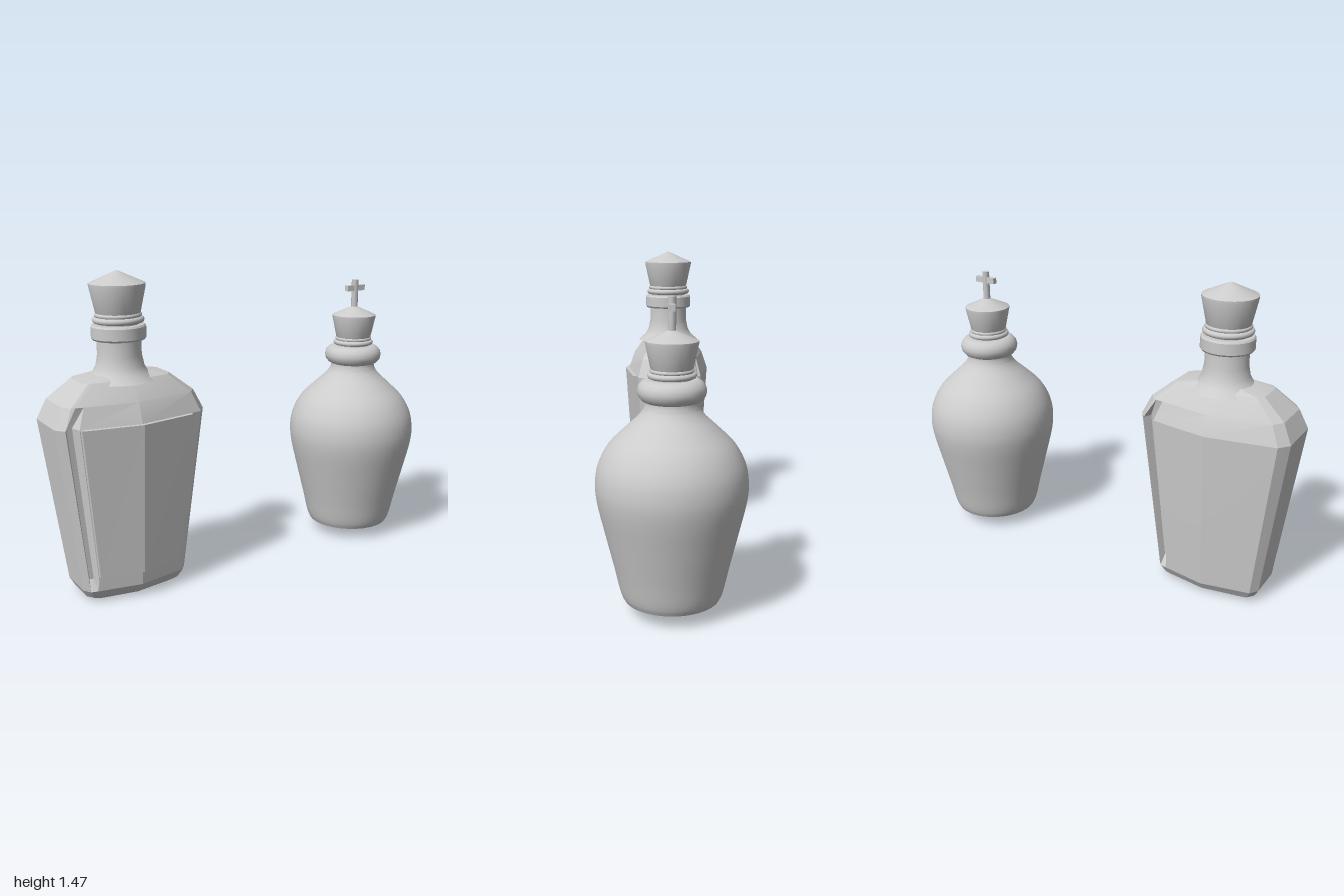
import * as THREE from 'three';
import { toCreasedNormals } from 'three/addons/utils/BufferGeometryUtils.js';

const material = new THREE.MeshStandardMaterial({ color: 0xcccccc });

function add(parent, name, geometry, x = 0, y = 0, z = 0) {
  const mesh = new THREE.Mesh(geometry, material);
  mesh.name = name;
  mesh.position.set(x, y, z);
  parent.add(mesh);
  return mesh;
}

// Skin a stack of closed rings (counter-clockwise seen from above) and cap both ends
function loft(rings, crease) {
  const n = rings[0].length, last = (rings.length - 1) * n, index = [];
  for (let i = 0; i < rings.length - 1; i++) {
    for (let j = 0; j < n; j++) {
      const a = i * n + j, b = i * n + (j + 1) % n;
      index.push(a, b, b + n, a, b + n, a + n);
    }
  }
  for (let j = 1; j < n - 1; j++) {
    index.push(0, j + 1, j, last, last + j, last + j + 1);
  }
  const g = new THREE.BufferGeometry();
  g.setAttribute('position', new THREE.Float32BufferAttribute(rings.flat(2), 3));
  g.setIndex(index);
  g.computeVertexNormals();
  return toCreasedNormals(g, crease);
}

function turned(profile, crease = 0.5) {
  const points = profile.map(([r, y]) => new THREE.Vector2(r, y));
  return toCreasedNormals(new THREE.LatheGeometry(points, 48), crease);
}

function ring(radius, tube) {
  return new THREE.TorusGeometry(radius, tube, 14, 48).rotateX(Math.PI / 2);
}

// Flared stopper with a low conical top and a double bead under it
function makeStopper() {
  const stopper = new THREE.Group();
  stopper.name = 'stopper';
  add(stopper, 'stopperHead', turned([
    [0, -0.04], [0.09, -0.04], [0.09, 0.03], [0.096, 0.04], [0.124, 0.17], [0.124, 0.18], [0, 0.235],
  ], 0.4));
  add(stopper, 'stopperBead', ring(0.1, 0.014), 0, 0.022);
  add(stopper, 'stopperUpperBead', ring(0.094, 0.01), 0, 0.043);
  return stopper;
}

// Flask outline: half of it, the other half is the same turned by 180 degrees
function flaskRing([y, w, d, groove]) {
  const half = [
    [1, 0.5], [1, -0.5], [0.91, -0.71], [0.86, -0.745 + 0.22 * groove],
    [0.79, -0.765 + 0.22 * groove], [0.75, -0.78], [0, -1], [-0.89, -0.74],
  ];
  return [...half, ...half.map(([x, z]) => [-x, -z])].map(([x, z]) => [x * w, y, z * d]);
}

function makeFlask() {
  const flask = new THREE.Group();
  flask.name = 'flask';
  // y, half width, half depth, groove depth
  const levels = [
    [0, 0.2, 0.11, 0], [0.02, 0.235, 0.14, 0], [0.06, 0.257, 0.166, 0],
    [0.11, 0.263, 0.17, 1], [0.83, 0.357, 0.215, 1], [0.92, 0.315, 0.185, 0],
    [1.005, 0.21, 0.125, 0], [1.025, 0.1, 0.09, 0],
  ];
  add(flask, 'flaskBody', loft(levels.map(flaskRing), 0.3));

  // Raised label panel following the taper and the ridge of the front
  const labelRing = (y, w, d) => [
    [0.74, 0.5], [-0.74, 0.5], [-0.74, 0.78], [0, 1], [0.74, 0.78],
  ].map(([x, z], i) => [x * w, y, z * d + (i > 1 ? 0.02 : 0)]);
  add(flask, 'labelPanel', loft([labelRing(0.13, 0.266, 0.171), labelRing(0.83, 0.357, 0.215)], 0.3));

  add(flask, 'flaskNeck', turned([
    [0.16, 0.99], [0.125, 1.02], [0.108, 1.05], [0.098, 1.1], [0.098, 1.18],
  ], 0.7));
  add(flask, 'flaskCollar', turned([
    [0.09, 1.168], [0.115, 1.168], [0.121, 1.176], [0.121, 1.226], [0.115, 1.234], [0, 1.234],
  ]));
  const stopper = makeStopper();
  stopper.position.y = 1.232;
  flask.add(stopper);
  return flask;
}

function makeJug() {
  const jug = new THREE.Group();
  jug.name = 'jug';
  // Rounded belly and shoulder from one smooth curve, closed by a flat base
  const curve = new THREE.CatmullRomCurve3([
    [0.205, 0.063], [0.218, 0.09], [0.244, 0.2], [0.283, 0.36], [0.315, 0.5], [0.321, 0.57],
    [0.309, 0.65], [0.265, 0.735], [0.19, 0.81], [0.132, 0.865], [0.112, 0.9], [0.11, 0.95],
  ].map(([r, y]) => new THREE.Vector3(r, y, 0)));
  const side = curve.getPoints(44).map(p => [p.x, p.y]);
  add(jug, 'jugBody', turned([[0, 0.06], [0.195, 0.06], ...side], 0.7));

  add(jug, 'jugLip', ring(0.095, 0.049), 0, 0.962);
  add(jug, 'jugMouth', new THREE.CylinderGeometry(0.1, 0.1, 0.08, 48), 0, 0.965);
  const stopper = makeStopper();
  stopper.scale.setScalar(0.89);
  stopper.position.y = 1.006;
  jug.add(stopper);

  // Small cross finial
  add(jug, 'finialPost', new THREE.CylinderGeometry(0.017, 0.017, 0.15, 8), 0, 1.27);
  add(jug, 'finialBar', new THREE.BoxGeometry(0.11, 0.028, 0.024), 0, 1.303);
  return jug;
}

export function createModel() {
  const model = new THREE.Group();
  model.name = 'bottlePair';
  const flask = makeFlask();
  flask.position.x = -0.642;
  const jug = makeJug();
  jug.position.x = 0.677;
  model.add(flask, jug);
  return model;
}
